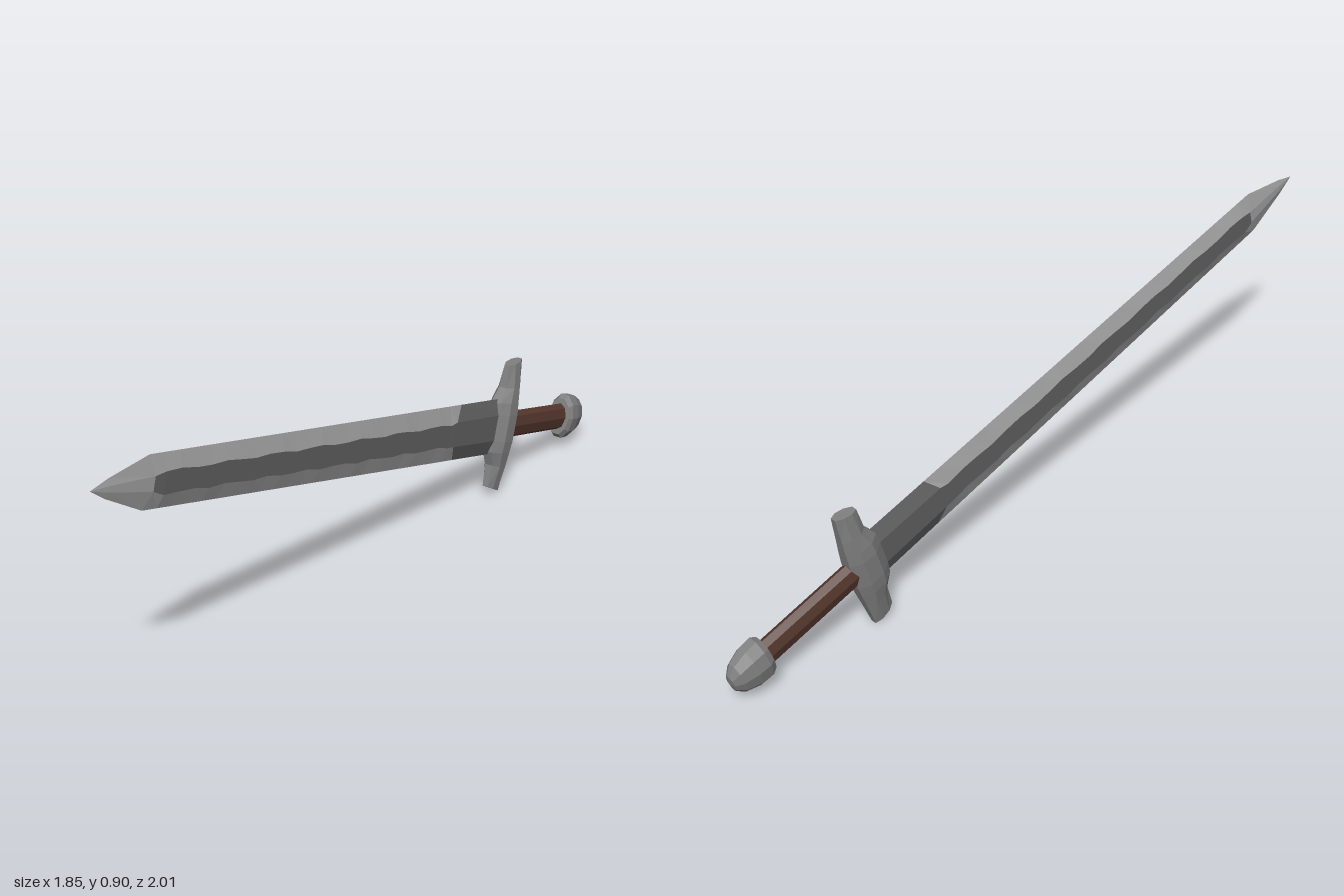
import * as THREE from 'three';

const mat = (name, color) => {
  const m = new THREE.MeshStandardMaterial({ color });
  m.name = name;
  return m;
};

// Flat-faced skin through equal-length rings; keep(row, side) picks the panels, row -1 is the caps
function loft(rings, keep = () => true) {
  const pos = [];
  const tri = (a, b, c) => pos.push(...a, ...b, ...c);
  const n = rings[0].length;
  for (let i = 0; i < rings.length - 1; i++) {
    for (let k = 0; k < n; k++) {
      if (!keep(i, k)) continue;
      const a = rings[i][k], b = rings[i][(k + 1) % n];
      const d = rings[i + 1][k], c = rings[i + 1][(k + 1) % n];
      tri(a, b, c);
      tri(a, c, d);
    }
  }
  if (keep(-1, 0)) {
    const f = rings[0], l = rings[rings.length - 1];
    for (let k = 1; k < n - 1; k++) {
      tri(f[0], f[k + 1], f[k]);
      tri(l[0], l[k], l[k + 1]);
    }
  }
  const g = new THREE.BufferGeometry();
  g.setAttribute('position', new THREE.Float32BufferAttribute(pos, 3));
  g.computeVertexNormals();
  return g;
}

const faceted = (g) => {
  const f = g.toNonIndexed();
  f.computeVertexNormals();
  return f;
};

export function createModel() {
  const edgeSteel = mat('edge steel', 0xa0a0a0);
  const darkSteel = mat('dark steel', 0x626262);
  const fittingSteel = mat('fitting steel', 0x808080);
  const leather = mat('brown leather', 0x56382e);

  const model = new THREE.Group();
  model.name = 'sword';
  const add = (name, geometry, material) => {
    const m = new THREE.Mesh(geometry, material);
    m.name = name;
    model.add(m);
    return m;
  };

  // Blade: local y runs from the tip (0) to the pommel, x is the width, z the thickness
  // row: [y of edge, half width, y of ridge, upper ridge, lower ridge, half thickness]
  const rows = [
    [0, 0.001, 0, 0.0005, 0.0005, 0.0005],
    [0.068, 0.031, 0.075, 0.010, 0.010, 0.007],
    [0.235, 0.086, 0.255, 0.022, 0.026, 0.017],
  ];
  const tipRows = rows.length - 1;
  const steps = 22;
  for (let i = 0; i <= steps; i++) {
    const y = 0.3 + (1.85 - 0.3) * i / steps;
    const half = 0.086 + 0.021 * (y - 0.235) / 1.95;
    const grow = 0.006 * i / steps;
    rows.push([y, half, y,
      0.033 + grow + 0.004 * Math.sin(i * 1.9),
      0.037 + grow + 0.004 * Math.sin(i * 2.3 + 1), 0.02]);
  }
  rows.push([1.925, 0.104, 1.885, 0.046, 0.046, 0.021]);
  const darkRow = rows.length - 1;
  rows.push([2.22, 0.107, 2.22, 0.05, 0.05, 0.022]);
  const bladeRings = rows.map(([ye, e, yr, up, low, t]) => [
    [e, ye, 0], [up, yr, -t], [-low, yr, -t],
    [-e, ye, 0], [-low, yr, t], [up, yr, t],
  ]);
  const isDark = (i, k) => i >= darkRow || (i >= tipRows && k % 3 === 1);
  add('bladeEdges', loft(bladeRings, (i, k) => i >= 0 && !isDark(i, k)), edgeSteel);
  add('bladeCore', loft(bladeRings, (i, k) => i < 0 || isDark(i, k)), darkSteel);

  // Guard: octagonal sections across the blade, swollen in the middle, slanted at the ends
  // section: [x on the blade side, x on the grip side, y start, y end, half thickness]
  const halfGuard = [
    [0.05, 0.055, 2.165, 2.302, 0.047],
    [0.095, 0.10, 2.168, 2.298, 0.043],
    [0.15, 0.16, 2.197, 2.292, 0.034],
    [0.234, 0.258, 2.198, 2.283, 0.022],
  ];
  const sections = [
    ...halfGuard.slice().reverse().map(([a, b, ...r]) => [-a, -b, ...r]),
    ...halfGuard,
  ];
  const guardRings = sections.map(([x0, x1, y0, y1, t]) => {
    const p = (f, z) => [x0 + (x1 - x0) * f, y0 + (y1 - y0) * f, z * t];
    return [p(1, -0.45), p(1, 0.45), p(0.7, 1), p(0.3, 1),
      p(0, 0.45), p(0, -0.45), p(0.3, -1), p(0.7, -1)];
  });
  add('guard', loft(guardRings), fittingSteel);

  // Grip: oval eight-sided handle
  const gripGeo = new THREE.CylinderGeometry(1, 1, 0.42, 8);
  gripGeo.scale(0.052, 1, 0.031);
  gripGeo.translate(0, 2.49, 0);
  add('grip', faceted(gripGeo), leather);

  // Pommel: flattened dome
  const profile = [[0, 2.675], [0.075, 2.675], [0.091, 2.695], [0.088, 2.74],
    [0.066, 2.793], [0.035, 2.82], [0, 2.826]].map(([r, y]) => new THREE.Vector2(r, y));
  const pommelGeo = new THREE.LatheGeometry(profile, 10);
  pommelGeo.scale(1, 1, 0.6);
  add('pommel', faceted(pommelGeo), fittingSteel);

  // Pose: tip raised towards the front right, blade standing on edge
  const back = new THREE.Vector3(0.650, -0.276, -0.708).normalize();
  const up = new THREE.Vector3(0, 1, 0).addScaledVector(back, -back.y).normalize();
  const side = new THREE.Vector3().crossVectors(up, back);
  model.quaternion.setFromRotationMatrix(new THREE.Matrix4().makeBasis(up, back, side));
  model.position.set(-0.92, 0.883, 1.0);

  const root = new THREE.Group();
  root.name = 'swordModel';
  root.add(model);
  return root;
}
